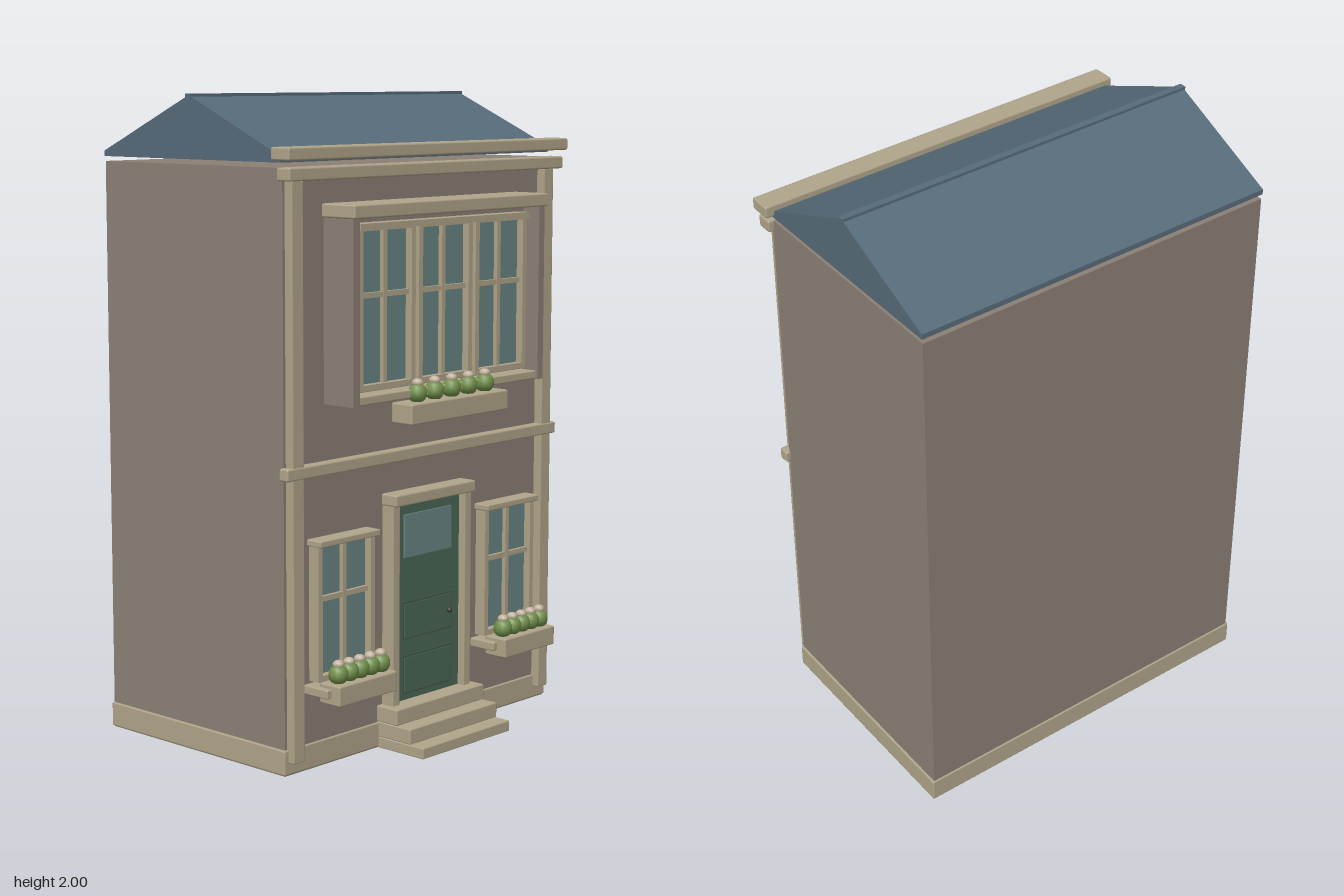
import * as THREE from 'three';
import { RoundedBoxGeometry } from 'three/addons/geometries/RoundedBoxGeometry.js';

const mat = (name, color) => {
  const m = new THREE.MeshStandardMaterial({ color });
  m.name = name;
  return m;
};

export function createModel() {
  const house = new THREE.Group();
  house.name = 'townHouse';
  const wall = mat('wall brown', 0x8b8075);
  const trim = mat('stone trim', 0xb0a58a);
  const roofMat = mat('slate roof', 0x566b79);
  const glass = mat('window glass', 0x688584);
  const green = mat('door green', 0x4a6656);
  const darkGreen = mat('door panel green', 0x42594c);
  const leaf = mat('leaf green', 0x708f4a);
  const blossom = mat('pale blossom', 0xc4b5a0);
  const metal = mat('dark metal', 0x3a3d38);

  const add = (parent, name, geometry, material) => {
    const m = new THREE.Mesh(geometry, material);
    m.name = name;
    parent.add(m);
    return m;
  };
  // Box given by its extents; a bevel softens the edges
  const box = (parent, name, material, x0, x1, y0, y1, z0, z1, bevel = 0) => {
    const w = x1 - x0, h = y1 - y0, d = z1 - z0;
    const g = bevel ? new RoundedBoxGeometry(w, h, d, 1, bevel) : new THREE.BoxGeometry(w, h, d);
    g.translate((x0 + x1) / 2, (y0 + y1) / 2, (z0 + z1) / 2);
    return add(parent, name, g, material);
  };
  const group = (name, x = 0) => {
    const g = new THREE.Group();
    g.name = name;
    g.position.x = x;
    house.add(g);
    return g;
  };

  // Main block, plinth and horizontal bands
  box(house, 'walls', wall, -0.61, 0.61, 0, 1.793, -0.474, 0.29);
  box(house, 'plinth', trim, -0.617, 0.617, 0.003, 0.08, -0.479, 0.296, 0.005);
  box(house, 'beltCourse', trim, -0.625, 0.625, 0.89, 0.928, 0.285, 0.322, 0.006);
  box(house, 'lowerCornice', trim, -0.628, 0.628, 1.756, 1.795, 0.283, 0.337, 0.006);
  box(house, 'upperCornice', trim, -0.64, 0.64, 1.815, 1.853, 0.272, 0.346, 0.006);
  for (const s of [-1, 1]) {
    box(house, 'cornerPilaster', trim, s * 0.577 - 0.024, s * 0.577 + 0.024, 0.04, 1.757, 0.28, 0.319, 0.004);
  }

  // Gable roof, section drawn in (-z, y) and extruded along x
  const section = new THREE.Shape([
    [-0.285, 1.808], [0.475, 1.808], [0.475, 1.825], [0.094, 1.996], [-0.285, 1.827],
  ].map(([a, b]) => new THREE.Vector2(a, b)));
  const roof = new THREE.ExtrudeGeometry(section, { depth: 1.226, bevelEnabled: false });
  roof.rotateY(Math.PI / 2).translate(-0.613, 0, 0);
  add(house, 'roof', roof, roofMat);
  box(house, 'ridgeCap', roofMat, -0.616, 0.616, 1.985, 2, -0.105, -0.083);

  // Framed pane with a crossed glazing bar, glass face at z
  const sash = (parent, cx, w, y0, y1, z, f, barY) => {
    const a = cx - w / 2, b = cx + w / 2, t = 0.008;
    box(parent, 'glass', glass, a, b, y0, y1, z - 0.006, z);
    box(parent, 'frameLeft', trim, b, b + f, y0 - f, y1 + f, z - 0.02, z + 0.024);
    box(parent, 'frameRight', trim, a - f, a, y0 - f, y1 + f, z - 0.02, z + 0.024);
    box(parent, 'frameTop', trim, a, b, y1, y1 + f, z - 0.02, z + 0.024);
    box(parent, 'frameBottom', trim, a, b, y0 - f, y0, z - 0.02, z + 0.024);
    box(parent, 'verticalBar', trim, cx - t, cx + t, y0, y1, z, z + 0.014);
    box(parent, 'horizontalBar', trim, a, b, barY - t, barY + t, z, z + 0.012);
  };
  // Row of five round plants, each with a blossom on top
  const plants = (parent, step, y, z, r) => {
    for (let i = -2; i <= 2; i++) {
      const bush = add(parent, 'plant', new THREE.SphereGeometry(r, 10, 7), leaf);
      bush.position.set(i * step, y, z);
      const top = add(parent, 'blossom', new THREE.SphereGeometry(0.018, 8, 6), blossom);
      top.scale.y = 0.75;
      top.position.set(i * step, y + r, z);
    }
  };

  // Ground floor windows with sills and planters
  for (const s of [-1, 1]) {
    const g = group(s > 0 ? 'leftWindow' : 'rightWindow', s * 0.383);
    sash(g, 0, 0.21, 0.29, 0.68, 0.305, 0.018, 0.52);
    box(g, 'lintel', trim, -0.13, 0.13, 0.682, 0.702, 0.285, 0.346, 0.004);
    box(g, 'sill', trim, -0.145, 0.145, 0.235, 0.264, 0.285, 0.385, 0.005);
    box(g, 'planter', trim, -0.127, 0.127, 0.214, 0.277, 0.335, 0.419, 0.006);
    plants(g, 0.046, 0.302, 0.38, 0.031);
  }

  // Projecting upper bay: open-fronted case with three recessed sashes
  const bay = group('bayWindow');
  box(bay, 'bayBack', wall, -0.43, 0.43, 1.1, 1.65, 0.28, 0.345);
  for (const s of [-1, 1]) {
    box(bay, 'baySide', wall, s * 0.428 - 0.013, s * 0.428 + 0.013, 1.097, 1.65, 0.28, 0.41);
  }
  box(bay, 'bayFloor', trim, -0.415, 0.415, 1.098, 1.125, 0.28, 0.405, 0.005);
  box(bay, 'bayCornice', trim, -0.447, 0.447, 1.645, 1.686, 0.28, 0.42, 0.006);
  box(bay, 'bayHead', trim, -0.39, 0.39, 1.61, 1.628, 0.34, 0.392);
  for (const x of [-0.263, 0, 0.263]) sash(bay, x, 0.212, 1.152, 1.605, 0.358, 0.018, 1.415);
  box(bay, 'bayPlanter', trim, -0.226, 0.226, 1.024, 1.087, 0.362, 0.446, 0.006);
  plants(bay, 0.0785, 1.112, 0.406, 0.031);

  // Front door with surround
  const door = group('frontDoor');
  box(door, 'doorLeaf', green, -0.153, 0.153, 0.13, 0.748, 0.28, 0.31);
  for (const s of [-1, 1]) {
    box(door, 'doorJamb', trim, s * 0.168 - 0.016, s * 0.168 + 0.016, 0.08, 0.76, 0.28, 0.335, 0.004);
  }
  box(door, 'doorLintel', trim, -0.187, 0.187, 0.757, 0.794, 0.28, 0.35, 0.006);
  box(door, 'doorGlass', glass, -0.11, 0.11, 0.585, 0.72, 0.309, 0.316);
  for (const [y0, y1] of [[0.325, 0.445], [0.152, 0.275]]) {
    box(door, 'panelEdge', darkGreen, -0.116, 0.116, y0, y1, 0.309, 0.313);
    box(door, 'panel', green, -0.109, 0.109, y0 + 0.007, y1 - 0.007, 0.311, 0.317);
  }
  add(door, 'doorKnob', new THREE.SphereGeometry(0.009, 10, 8), metal).position.set(0.095, 0.387, 0.322);

  // Stone steps, lowest first
  [[0, 0.035, 0.48], [0.035, 0.083, 0.427], [0.083, 0.133, 0.373]].forEach(([y0, y1, z]) =>
    box(house, 'step', trim, -0.207, 0.207, y0, y1, 0.285, z, 0.004));

  return house;
}
